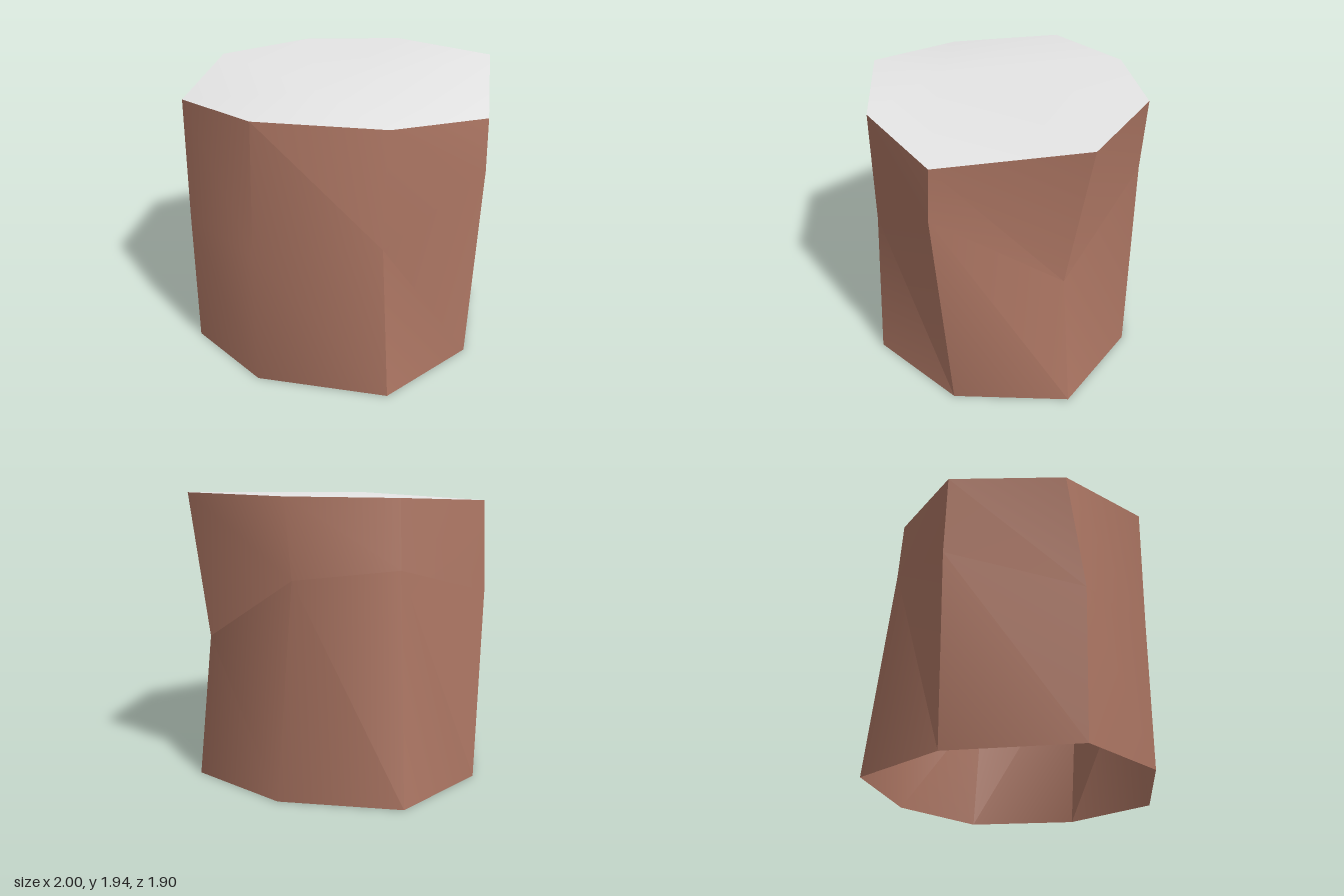
import * as THREE from 'three';
import { toCreasedNormals } from 'three/addons/utils/BufferGeometryUtils.js';

// Three uneven eight-cornered rings, as [x, y, z], running from the back left corner.
// The middle ring is where each corner of the trunk kinks.
const rings = [
  [[-0.39, 0, -0.95], [0.41, 0, -0.84], [1, 0, -0.37], [0.94, 0, 0.41],
    [0.42, 0, 0.95], [-0.47, 0, 0.88], [-1, 0, 0.45], [-0.9, 0, -0.39]],
  [[-0.36, 1.48, -0.82], [0.3, 1.42, -0.85], [0.91, 0.97, -0.31], [0.96, 1.48, 0.5],
    [0.36, 1.1, 0.89], [-0.45, 1, 0.895], [-0.97, 1, 0.48], [-0.93, 1.3, -0.41]],
  [[-0.35, 1.91, -0.8], [0.34, 1.92, -0.86], [1, 1.94, -0.44], [0.95, 1.82, 0.48],
    [0.38, 1.88, 0.88], [-0.41, 1.91, 0.92], [-0.98, 1.82, 0.38], [-0.91, 1.89, -0.4]],
];

function facets(triangles, crease) {
  const geometry = new THREE.BufferGeometry();
  geometry.setAttribute('position', new THREE.Float32BufferAttribute(triangles.flat(2), 3));
  return toCreasedNormals(geometry, crease);
}

export function createModel() {
  const bark = new THREE.MeshStandardMaterial({ color: 0xae7764, side: THREE.DoubleSide });
  bark.name = 'brown bark';
  const cut = new THREE.MeshStandardMaterial({ color: 0xe7e7e7, side: THREE.DoubleSide });
  cut.name = 'pale grey cut';

  const group = new THREE.Group();
  group.name = 'stump';
  const sides = [];
  const top = [];
  const centre = [-0.1, 1.935, 0.45];
  for (let i = 0; i < 8; i++) {
    const j = (i + 1) % 8;
    // Wall panels between neighbouring rings, folded inwards along the diagonal
    for (let r = 0; r < 2; r++) {
      const low = rings[r], high = rings[r + 1];
      sides.push([low[j], low[i], high[j]], [low[i], high[i], high[j]]);
    }
    // Slightly domed cut face
    top.push([centre, rings[2][j], rings[2][i]]);
  }

  // Trunk wall, open underneath
  const wall = new THREE.Mesh(facets(sides, 0.8), bark);
  wall.name = 'trunkWall';
  const face = new THREE.Mesh(facets(top, 0.8), cut);
  face.name = 'cutTop';
  group.add(wall, face);
  return group;
}
